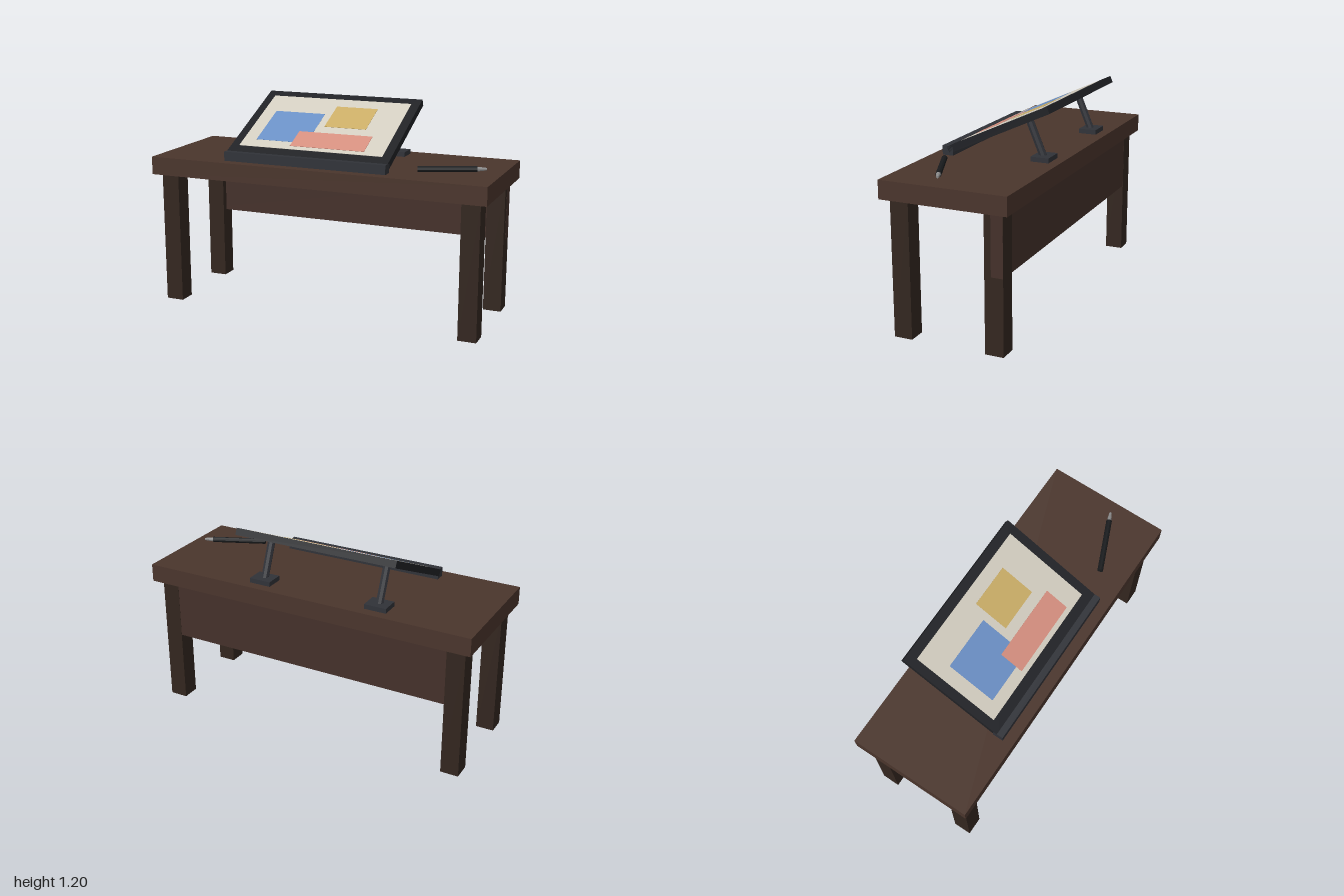
import * as THREE from 'three';

const mat = (color, flatShading = false) => new THREE.MeshStandardMaterial({ color, flatShading });

export function createModel() {
  const model = new THREE.Group();
  const topWood = mat(0x4a352c), legWood = mat(0x33261f), panelWood = mat(0x44302a);
  const slabMat = mat(0x202125), metal = mat(0x303238, true);

  function add(parent, name, geometry, material, x, y, z) {
    const mesh = new THREE.Mesh(geometry, material);
    mesh.name = name;
    mesh.position.set(x, y, z);
    parent.add(mesh);
    return mesh;
  }
  const box = (parent, name, w, h, d, material, x, y, z) =>
    add(parent, name, new THREE.BoxGeometry(w, h, d), material, x, y, z);

  // Desk: top, four legs, back panel running through the rear legs
  const desk = new THREE.Group();
  desk.name = 'desk';
  model.add(desk);
  box(desk, 'tabletop', 2, 0.104, 0.724, topWood, 0, 0.821, 0);
  for (const x of [-0.905, 0.905]) {
    for (const z of [-0.266, 0.268]) box(desk, 'leg', 0.105, 0.77, 0.105, legWood, x, 0.385, z);
  }
  box(desk, 'backPanel', 1.914, 0.343, 0.067, panelWood, 0.001, 0.5985, -0.284);

  // Drawing tablet: front lip and tilted slab
  const cx = -0.067, tilt = 0.432, cz = -0.0225, width = 0.977;
  const tablet = new THREE.Group();
  tablet.name = 'drawingTablet';
  model.add(tablet);
  box(tablet, 'frontLip', width, 0.053, 0.063, metal, cx, 0.8995, 0.2695);

  // Local origin lies in the middle of the slab's upper face
  const slab = new THREE.Group();
  slab.name = 'tiltedDisplay';
  slab.position.set(cx, 1.058, cz);
  slab.rotation.x = tilt;
  tablet.add(slab);
  box(slab, 'displayBody', width, 0.04, 0.655, slabMat, 0, -0.02, 0);

  // Screen and colour patches, given by their extents seen from above
  const patches = [
    ['screen', -0.505, 0.37, -0.271, 0.21, 0xd2ccbf],
    ['bluePatch', -0.425, -0.11, -0.123, 0.148, 0x6a8fc4],
    ['yellowPatch', -0.066, 0.19, -0.2, -0.008, 0xc9ac66],
    ['redPatch', -0.197, 0.253, 0.05, 0.183, 0xd48e7e],
  ];
  patches.forEach(([name, x0, x1, z0, z1, color], i) => {
    const depth = (z1 - z0) / Math.cos(tilt);
    box(slab, name, x1 - x0, 0.002, depth, mat(color),
      (x0 + x1) / 2 - cx, 0.0004 + i * 0.0008, ((z0 + z1) / 2 - cz) / Math.cos(tilt));
  });

  // Two rear supports: foot and leaning strut
  for (const side of [-1, 1]) {
    const stand = new THREE.Group();
    stand.name = 'rearSupport';
    stand.position.x = cx + side * 0.36;
    tablet.add(stand);
    box(stand, 'supportFoot', 0.13, 0.027, 0.105, metal, 0, 0.8865, -0.252);
    const strut = add(stand, 'supportStrut', new THREE.CylinderGeometry(0.022, 0.022, 0.21, 8), metal, 0, 0.985, -0.2085);
    strut.rotation.x = 0.4;
  }

  // Stylus lying on the desk: barrel, taper and tip along local x
  const stylus = new THREE.Group();
  stylus.name = 'stylus';
  stylus.position.set(0.572, 0.9, 0.208);
  stylus.rotation.y = 0.4;
  model.add(stylus);
  function segment(name, r0, r1, from, to, material) {
    const mesh = add(stylus, name, new THREE.CylinderGeometry(r1, r0, to - from, 10), material, (from + to) / 2, 0, 0);
    mesh.rotation.z = -Math.PI / 2;
  }
  segment('stylusBarrel', 0.016, 0.016, 0, 0.322, mat(0x191b1d, true));
  segment('stylusTip', 0.013, 0.007, 0.322, 0.374, mat(0x8c8c8c, true));

  return model;
}
